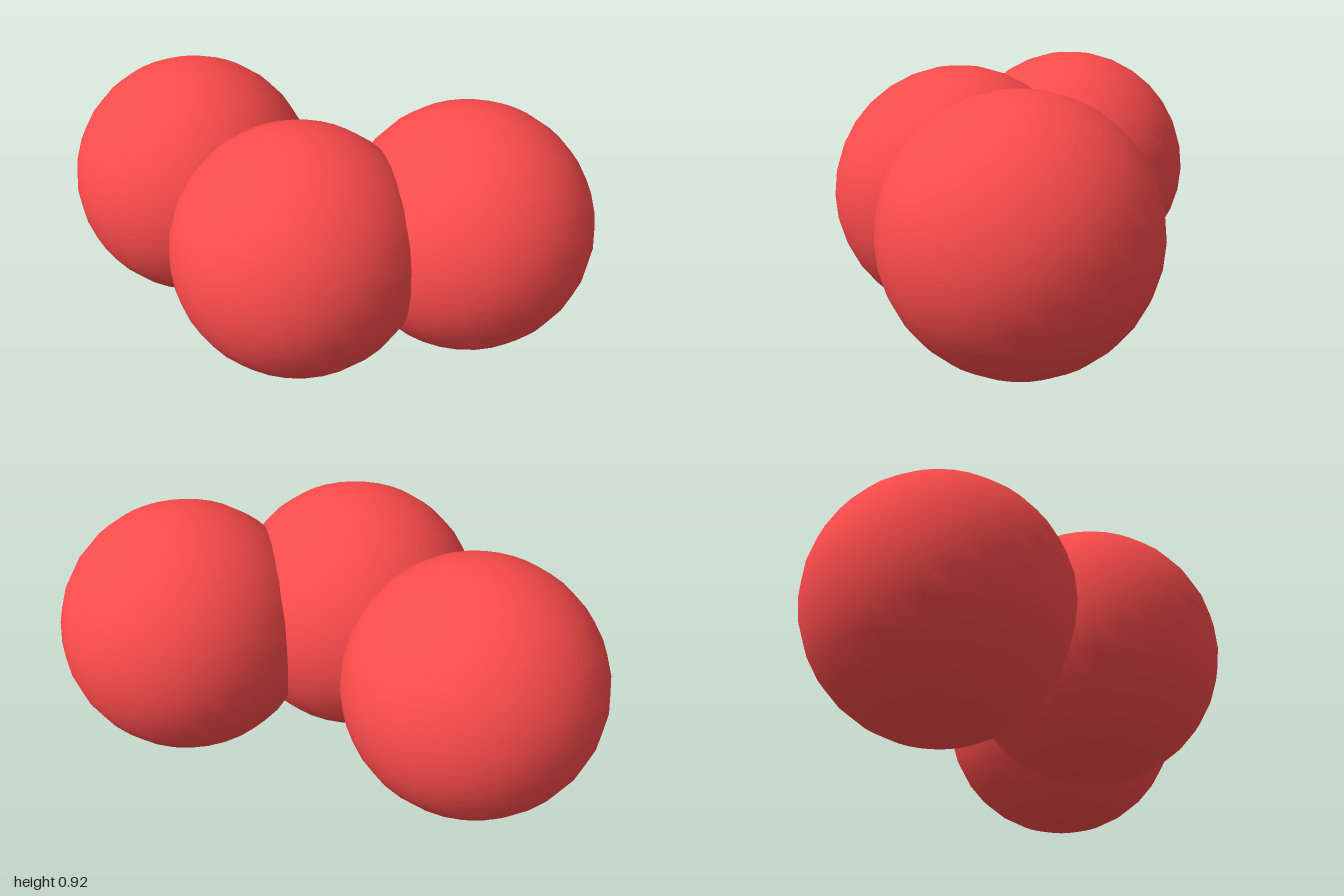
import * as THREE from 'three';

const RADIUS = 0.46;

export function createModel() {
  const model = new THREE.Group();
  model.name = 'bentMolecule';

  const material = new THREE.MeshStandardMaterial({ color: 0xff4c4c });
  const geometry = new THREE.SphereGeometry(RADIUS, 32, 16);

  const addAtom = (name, x, z) => {
    const atom = new THREE.Mesh(geometry, material);
    atom.name = name;
    atom.position.set(x, RADIUS, z);
    model.add(atom);
  };

  // Central atom in front, two end atoms mirrored behind it
  addAtom('centralAtom', 0, 0.165);
  addAtom('leftAtom', 0.54, -0.165);
  addAtom('rightAtom', -0.54, -0.165);

  return model;
}
